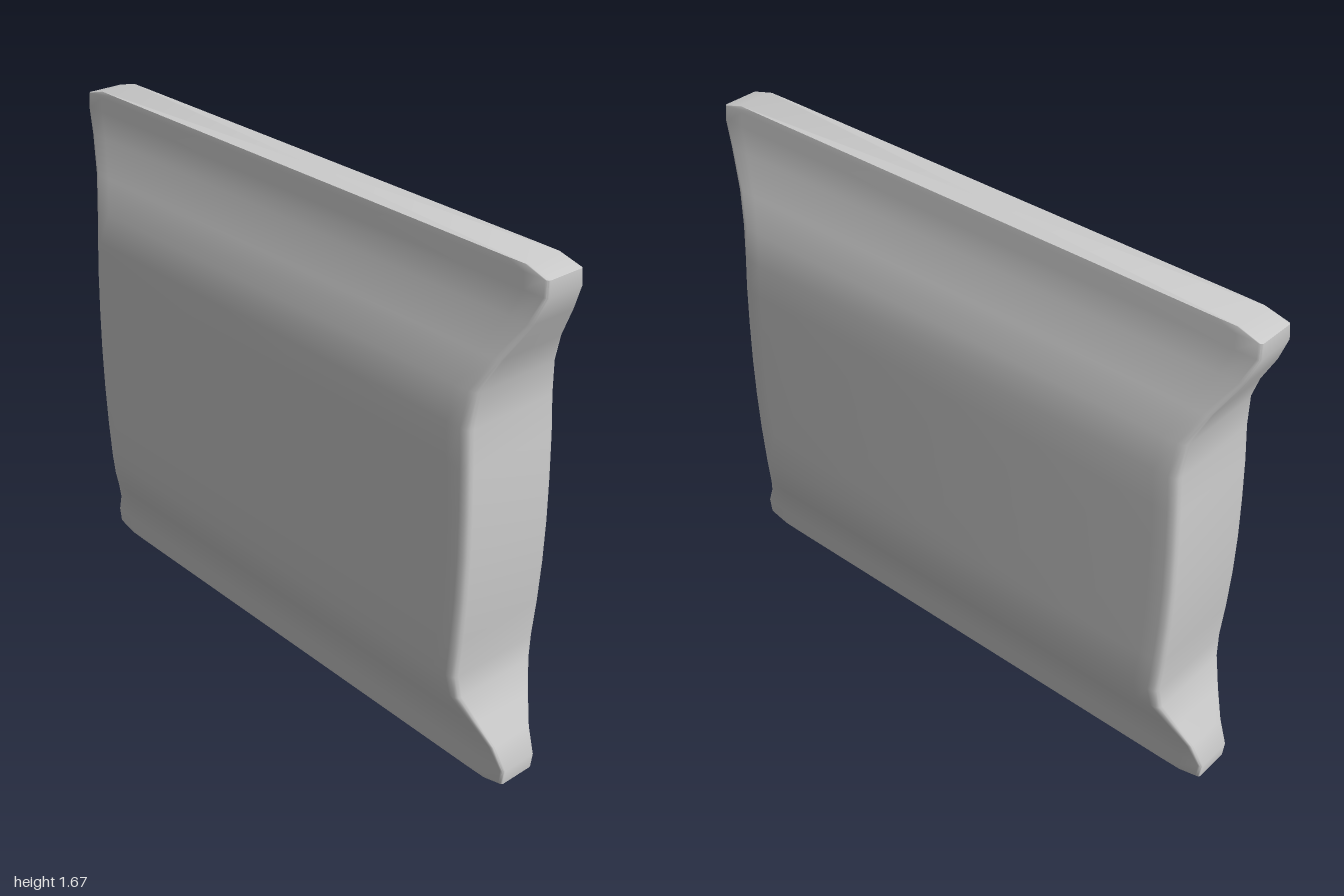
import * as THREE from 'three';
import { toCreasedNormals } from 'three/addons/utils/BufferGeometryUtils.js';

// Cross-sections from bottom to top: height, half width, half depth
const SECTIONS = [
  [0, 0.9, 0.063], [0.02, 0.965, 0.066], [0.07, 0.97, 0.068], [0.145, 0.935, 0.083],
  [0.23, 0.893, 0.121], [0.315, 0.855, 0.16], [0.39, 0.848, 0.173], [0.52, 0.859, 0.174],
  [0.66, 0.867, 0.174], [0.8, 0.87, 0.174], [0.94, 0.868, 0.174], [1.08, 0.863, 0.174],
  [1.2, 0.855, 0.173], [1.31, 0.863, 0.16], [1.41, 0.905, 0.124], [1.52, 0.968, 0.084],
  [1.6, 1.0, 0.07], [1.647, 0.997, 0.067], [1.667, 0.925, 0.064],
];

// One softly bevelled rectangle, running from +x towards +z
function ring(y, w, d) {
  const b = d * 0.14;
  const corner = [
    [w, d - b], [w - b * 0.15, d - b * 0.55], [w - b * 0.55, d - b * 0.22],
    [w - b * 1.3, d - b * 0.1], [w - 0.08, d],
  ];
  const flip = [...corner].reverse();
  return [
    ...corner,
    ...flip.map(([x, z]) => [-x, z]),
    ...corner.map(([x, z]) => [-x, -z]),
    ...flip.map(([x, z]) => [x, -z]),
  ].map(([x, z]) => [x, y, z]);
}

// Skin the stacked rings and close both ends
function loft(sections) {
  const rings = sections.map((s) => ring(...s));
  const n = rings[0].length;
  const last = rings.length - 1;
  const positions = rings.flat(2);
  const index = [];
  for (let j = 0; j < last; j++) {
    for (let i = 0; i < n; i++) {
      const a = j * n + i, b = j * n + (i + 1) % n;
      index.push(a, a + n, b, b, a + n, b + n);
    }
  }
  const bottom = rings.length * n, top = bottom + 1;
  positions.push(0, sections[0][0], 0, 0, sections[last][0], 0);
  for (let i = 0; i < n; i++) {
    const k = (i + 1) % n;
    index.push(bottom, i, k, top, last * n + k, last * n + i);
  }
  const geometry = new THREE.BufferGeometry();
  geometry.setAttribute('position', new THREE.Float32BufferAttribute(positions, 3));
  geometry.setIndex(index);
  return toCreasedNormals(geometry, 0.85);
}

export function createModel() {
  const group = new THREE.Group();
  group.name = 'flaredPanel';
  // Thick padded body, thinning and flaring at both ends
  const body = new THREE.Mesh(loft(SECTIONS), new THREE.MeshStandardMaterial({ color: 0xcccccc }));
  body.name = 'panelBody';
  group.add(body);
  return group;
}
